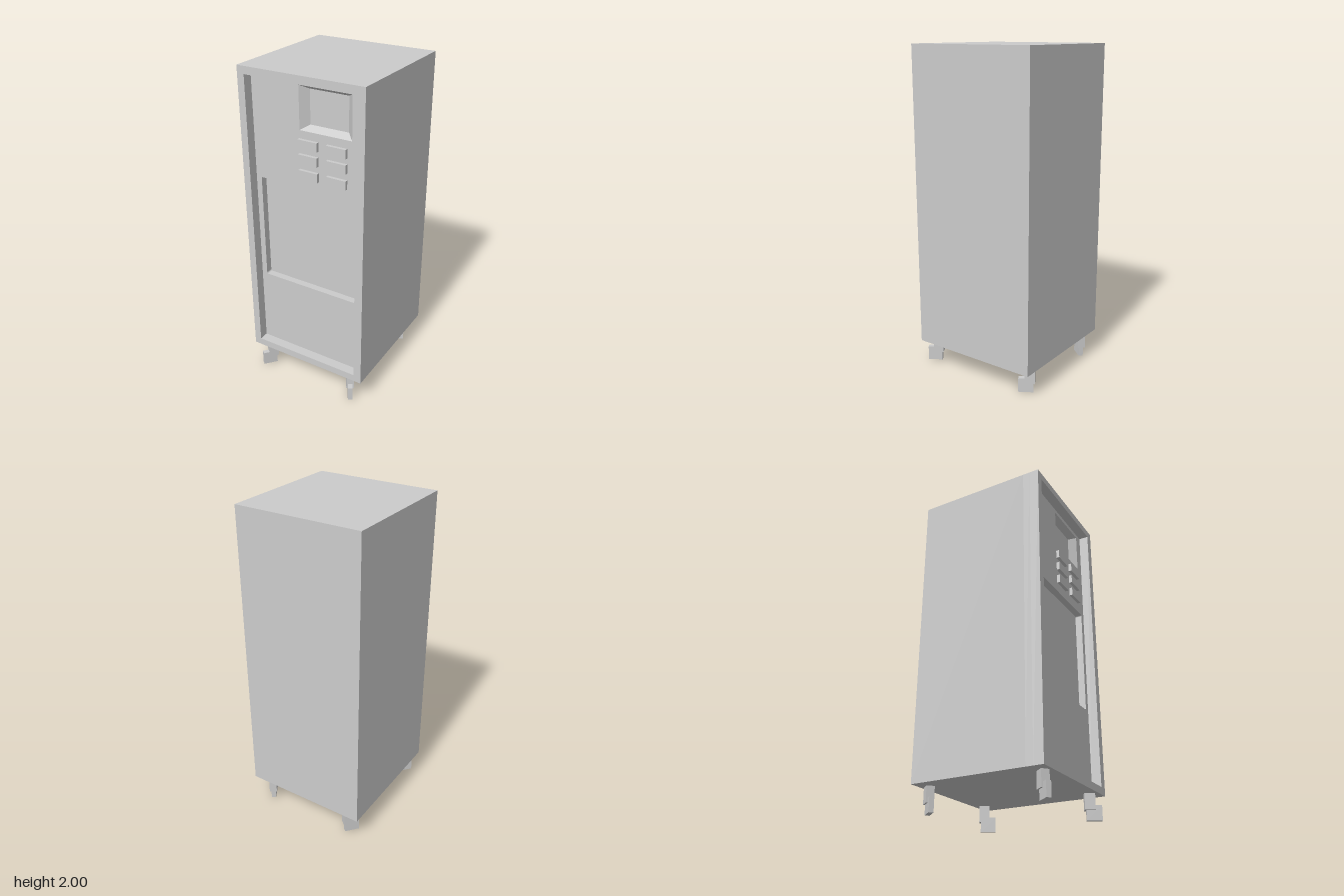
import * as THREE from 'three';

const FRONT = 0.405, BACK = -0.415, PANEL = 0.345, FLOOR = 0.302;
const OUTER = [-0.395, 0.395, 0.155, 2];
const OPENING = [-0.35, 0.345, 0.2, 1.955];
const POCKET = [-0.315, 0.313, 0.68, 1.34];
const SCREEN = [-0.04, 0.287, 1.68, 1.93];
const SCREEN_INNER = [0.003, 0.243, 1.706, 1.905];

const material = new THREE.MeshStandardMaterial({ color: 0xcccccc, flatShading: true });

function addMesh(parent, name, geometry) {
  const mesh = new THREE.Mesh(geometry, material);
  mesh.name = name;
  parent.add(mesh);
  return mesh;
}

// Rectangle [x0, x1, y0, y1] as a path, with optional rounded corners
function rect([x0, x1, y0, y1], r = 0, PathType = THREE.Path) {
  const p = new PathType();
  if (!r) {
    p.setFromPoints([[x0, y0], [x1, y0], [x1, y1], [x0, y1]].map(([x, y]) => new THREE.Vector2(x, y)));
    p.closePath();
    return p;
  }
  p.absarc(x1 - r, y0 + r, r, -Math.PI / 2, 0);
  p.absarc(x1 - r, y1 - r, r, 0, Math.PI / 2);
  p.absarc(x0 + r, y1 - r, r, Math.PI / 2, Math.PI);
  p.absarc(x0 + r, y0 + r, r, Math.PI, Math.PI * 1.5);
  p.closePath();
  return p;
}

// Plate between two depths, cut through by holes
function plate(outline, holes, z0, z1) {
  const shape = rect(outline, 0, THREE.Shape);
  shape.holes.push(...holes);
  return new THREE.ExtrudeGeometry(shape, { depth: z1 - z0, bevelEnabled: false, curveSegments: 4 })
    .translate(0, 0, z0);
}

function boxFrom([x0, x1, y0, y1], z0, z1) {
  return new THREE.BoxGeometry(x1 - x0, y1 - y0, z1 - z0)
    .translate((x0 + x1) / 2, (y0 + y1) / 2, (z0 + z1) / 2);
}

// Four sloping walls running inward from the outer to the inner rectangle
function slopedWalls(outer, inner, zOuter, zInner) {
  const ring = ([x0, x1, y0, y1], z) => [[x0, y0, z], [x1, y0, z], [x1, y1, z], [x0, y1, z]];
  const a = ring(outer, zOuter), b = ring(inner, zInner), pos = [];
  for (let i = 0; i < 4; i++) {
    const j = (i + 1) % 4;
    for (const v of [a[i], a[j], b[j], a[i], b[j], b[i]]) pos.push(...v);
  }
  const g = new THREE.BufferGeometry();
  g.setAttribute('position', new THREE.Float32BufferAttribute(pos, 3));
  g.computeVertexNormals();
  return g;
}

export function createModel() {
  const model = new THREE.Group();
  model.name = 'cabinetOnCasters';

  // Cabinet: solid body, recessed control panel and projecting front frame
  addMesh(model, 'cabinetBody', boxFrom(OUTER, BACK, FLOOR));
  addMesh(model, 'frontPanel', plate(OUTER, [rect(POCKET, 0.01), rect(SCREEN)], FLOOR, PANEL));
  addMesh(model, 'frontFrame', plate(OUTER, [rect(OPENING)], PANEL, FRONT));
  addMesh(model, 'screenBezel', slopedWalls(SCREEN, SCREEN_INNER, PANEL, FLOOR));

  // Two columns of three buttons
  const buttons = new THREE.Group();
  buttons.name = 'buttons';
  model.add(buttons);
  for (const x of [-0.043, 0.137]) {
    for (const y of [1.58, 1.493, 1.4]) {
      addMesh(buttons, 'button', boxFrom([x, x + 0.122, y, y + 0.053], PANEL, PANEL + 0.02));
    }
  }

  // Swivelled casters: fork block with a thin wheel block trailing ahead of it
  for (const [x, angle] of [[0.29, 0.54], [-0.2965, -0.7]]) {
    for (const z of [0.349, -0.361]) {
      const caster = new THREE.Group();
      caster.name = 'caster';
      caster.position.set(x, 0, z);
      caster.rotation.y = angle;
      addMesh(caster, 'casterFork', new THREE.BoxGeometry(0.047, 0.097, 0.062)).position.y = 0.1075;
      addMesh(caster, 'casterWheel', new THREE.BoxGeometry(0.028, 0.088, 0.09)).position.set(0, 0.044, 0.024);
      model.add(caster);
    }
  }
  return model;
}
